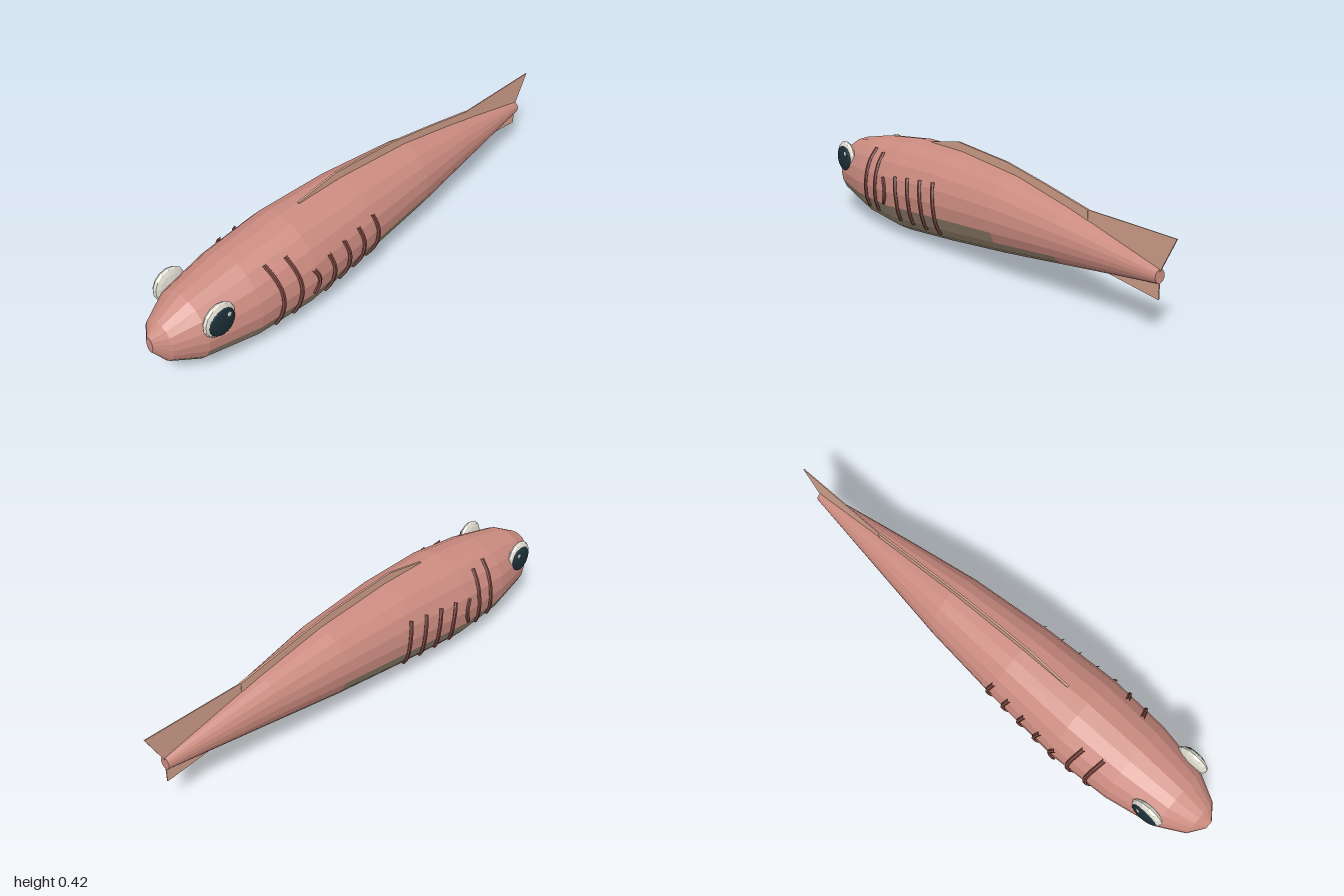
import * as THREE from 'three';

const SIDES = 20;
// Body rings, nose to tail: z, bottom y, top y, half width, belly faces per side
const RINGS = [
  [1.0, 0.186, 0.186, 0, 0],
  [1.0, 0.156, 0.217, 0.016, 0],
  [0.96, 0.1, 0.258, 0.072, 3],
  [0.86, 0.05, 0.31, 0.127, 4],
  [0.66, 0.014, 0.352, 0.165, 4],
  [0.42, 0.003, 0.382, 0.178, 4],
  [0.12, 0.034, 0.386, 0.16, 4],
  [-0.22, 0.075, 0.362, 0.128, 3],
  [-0.51, 0.115, 0.312, 0.085, 0],
  [-0.935, 0.173, 0.22, 0.02, 0],
  [-0.935, 0.196, 0.196, 0, 0],
];

const paint = (color, extra = {}) => new THREE.MeshStandardMaterial({ color, ...extra });

function ringPoint([z, lo, hi, w], j) {
  const a = (j / SIDES) * Math.PI * 2;
  return [w * Math.sin(a), (lo + hi) / 2 - ((hi - lo) / 2) * Math.cos(a), z];
}

// Skin faces between rings, keeping either the back or the belly
function skin(wantBelly) {
  const pos = [];
  for (let i = 0; i < RINGS.length - 1; i++) {
    for (let j = 0; j < SIDES; j++) {
      const belly = Math.min(j, SIDES - 1 - j) < RINGS[i][4];
      if (belly !== wantBelly) continue;
      const a = ringPoint(RINGS[i], j), b = ringPoint(RINGS[i], j + 1);
      const c = ringPoint(RINGS[i + 1], j + 1), d = ringPoint(RINGS[i + 1], j);
      if (RINGS[i + 1][3] > 0) pos.push(...a, ...d, ...c);
      if (RINGS[i][3] > 0) pos.push(...a, ...c, ...b);
    }
  }
  const g = new THREE.BufferGeometry();
  g.setAttribute('position', new THREE.Float32BufferAttribute(pos, 3));
  g.computeVertexNormals();
  return g;
}

// Half width of the body at a given height and length
function surfaceX(y, z) {
  let i = 1;
  while (i < RINGS.length - 3 && RINGS[i + 1][0] > z) i++;
  const p = RINGS[i], q = RINGS[i + 1];
  const t = (p[0] - z) / (p[0] - q[0]);
  const [, lo, hi, w] = p.map((v, k) => v + (q[k] - v) * t);
  const n = (y - (lo + hi) / 2) / ((hi - lo) / 2);
  return w * Math.sqrt(Math.max(0, 1 - n * n));
}

// Thin upright fin from (z, y) points
function fin(points, thickness) {
  const shape = new THREE.Shape(points.map(([z, y]) => new THREE.Vector2(-z, y)));
  const g = new THREE.ExtrudeGeometry(shape, { depth: thickness, bevelEnabled: false });
  g.translate(0, 0, -thickness / 2);
  g.rotateY(Math.PI / 2); // shape x becomes -z
  return g;
}

export function createModel() {
  const model = new THREE.Group();
  const add = (name, geometry, material, parent = model) => {
    const mesh = new THREE.Mesh(geometry, material);
    mesh.name = name;
    parent.add(mesh);
    return mesh;
  };

  const gillMat = paint(0x7d4742, { flatShading: true });
  const finMat = paint(0xcf9f8b, { flatShading: true, side: THREE.DoubleSide });
  const white = paint(0xdedbd0, { flatShading: true });
  const dark = paint(0x1b2f38);
  const glint = paint(0xffffff);

  add('body', skin(false), paint(0xcb8b80, { flatShading: true }));
  add('belly', skin(true), paint(0x94836f, { flatShading: true }));

  // Fins
  add('dorsalFin', fin([[0.33, 0.37], [0.33, 0.386], [0.15, 0.418], [-0.16, 0.4], [-0.38, 0.366],
    [-0.6, 0.328], [-0.6, 0.28], [-0.2, 0.35], [0.12, 0.37]], 0.008), finMat);
  add('upperTailFin', fin([[-0.6, 0.27], [-0.6, 0.328], [-1.0, 0.332], [-0.935, 0.21]], 0.004), finMat);
  add('lowerTailFin', fin([[-0.65, 0.145], [-0.935, 0.19], [-0.935, 0.12]], 0.004), finMat);

  // Gill slits: z, bottom y, top y
  const gills = [[0.58, 0.09, 0.325], [0.5, 0.09, 0.322], [0.42, 0.14, 0.245], [0.34, 0.085, 0.262],
    [0.26, 0.085, 0.272], [0.18, 0.085, 0.28], [0.1, 0.085, 0.288]];

  for (const side of [1, -1]) {
    const label = side > 0 ? 'left' : 'right';
    gills.forEach(([z, lo, hi], n) => {
      const pts = [];
      for (let k = 0; k <= 6; k++) {
        const t = k / 6, y = lo + (hi - lo) * t;
        const zz = z - 0.02 * Math.sin(Math.PI * t) + 0.01;
        pts.push(new THREE.Vector3(side * (surfaceX(y, zz) + 0.001), y, zz));
      }
      const path = new THREE.CatmullRomCurve3(pts);
      add(`${label}Gill${n + 1}`, new THREE.TubeGeometry(path, 10, 0.008, 6), gillMat);
    });

    // Eye: pale ball, dark pupil and a small glint
    const eye = new THREE.Group();
    eye.name = `${label}Eye`;
    model.add(eye);
    const ball = (name, r, x, y, z, flat, mat, w, h) => {
      const g = new THREE.SphereGeometry(r, w, h).rotateZ(Math.PI / 2);
      g.scale(flat, 1, 1);
      add(name, g, mat, eye).position.set(side * x, y, z);
    };
    ball('eyeball', 0.066, 0.126, 0.25, 0.812, 0.34, white, 14, 8);
    ball('pupil', 0.053, 0.139, 0.246, 0.81, 0.23, dark, 20, 12);
    ball('glint', 0.01, 0.147, 0.268, 0.785, 0.4, glint, 8, 6);
  }
  return model;
}
